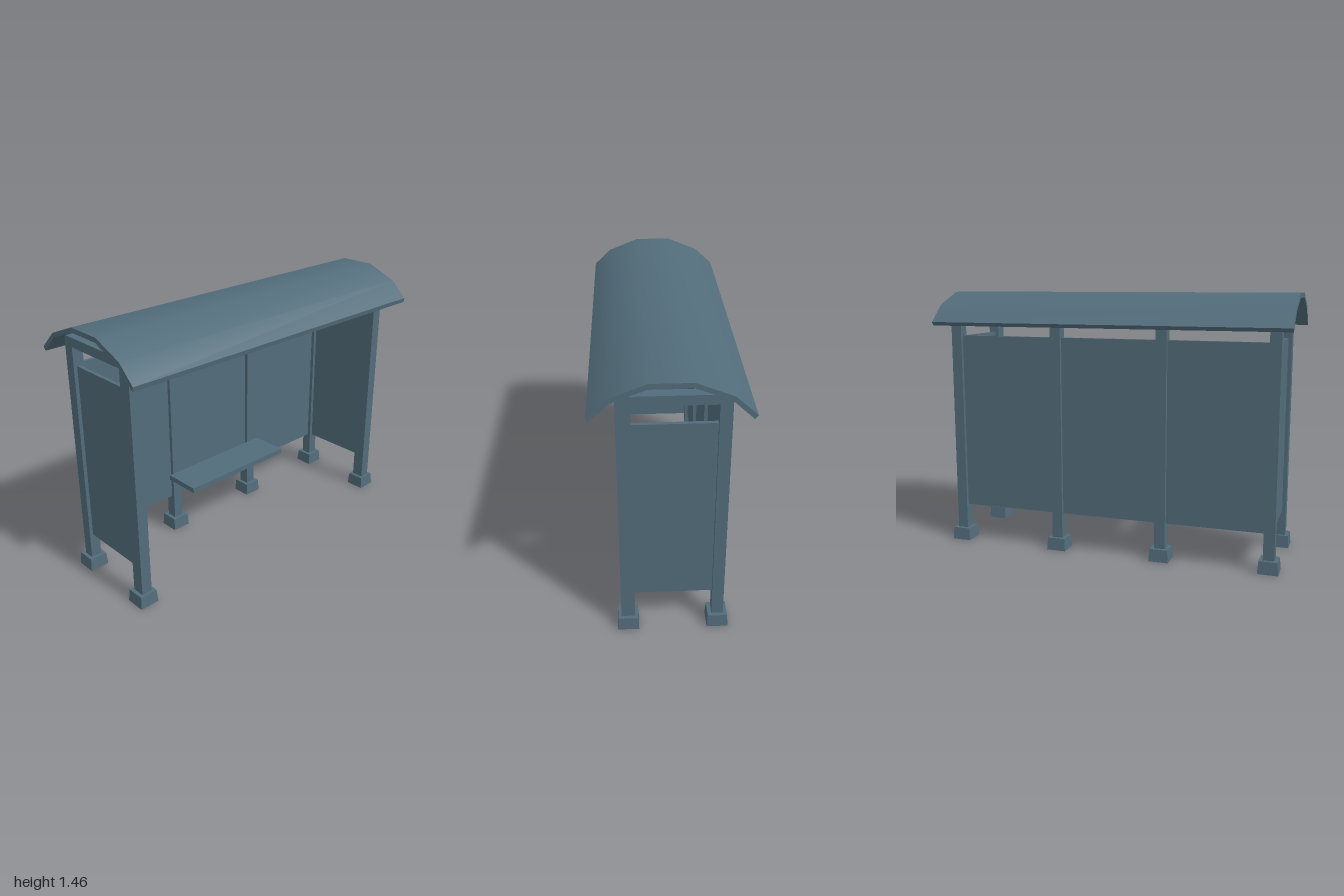
import * as THREE from 'three';
import { toCreasedNormals } from 'three/addons/utils/BufferGeometryUtils.js';

export function createModel() {
  const shelter = new THREE.Group();
  shelter.name = 'busShelter';
  const steel = new THREE.MeshStandardMaterial({ color: 0x526c7a, side: THREE.DoubleSide });
  steel.name = 'blueGreySteel';

  const add = (name, geometry, x = 0, y = 0, z = 0) => {
    const mesh = new THREE.Mesh(geometry, steel);
    mesh.name = name;
    mesh.position.set(x, y, z);
    shelter.add(mesh);
    return mesh;
  };
  // Box given by its limits on each axis
  const box = (name, [x0, x1], [y0, y1], [z0, z1]) =>
    add(name, new THREE.BoxGeometry(x1 - x0, y1 - y0, z1 - z0),
      (x0 + x1) / 2, (y0 + y1) / 2, (z0 + z1) / 2);

  // Posts on tapered feet that are open underneath
  const frontZ = 0.215, backZ = -0.245, endX = 0.905, half = 0.03;
  const footProfile = [[0.055, 0], [0.05, 0.07], [0, 0.07]]
    .map(([r, y]) => new THREE.Vector2(r * Math.SQRT2, y));
  const footGeometry = toCreasedNormals(
    new THREE.LatheGeometry(footProfile, 4).rotateY(Math.PI / 4), 0.3);
  const post = (name, x, z, depth) => {
    box(name + 'Post', [x - half, x + half], [0.065, 1.36], [z - depth, z + depth]);
    add(name + 'Foot', footGeometry, x, 0, z);
  };
  for (const x of [-endX, -0.31, 0.295, endX]) post('back', x, backZ, half);
  for (const x of [-endX, endX]) post('front', x, frontZ, 0.035);

  // Top frame
  for (const [name, z] of [['frontBeam', frontZ], ['backBeam', backZ]]) {
    box(name, [-endX + half, endX - half], [1.31, 1.36], [z - half, z + half]);
  }
  for (const x of [-endX, endX]) {
    box('endBeam', [x - half, x + half], [1.31, 1.36], [backZ + half, frontZ - half]);
  }

  // Wall panels
  box('backPanel', [-endX + half, endX - half], [0.21, 1.21], [backZ - 0.01, backZ + 0.01]);
  for (const x of [-endX, endX]) {
    box('sidePanel', [x - 0.01, x + 0.01], [0.21, 1.205], [backZ + half, frontZ - half]);
  }

  // Bench fixed to the two middle posts
  box('bench', [-0.365, 0.355], [0.34, 0.37], [-0.215, 0]);

  // Curved roof: arched section in z and y, swept along x
  const section = [
    [0.375, 1.295], [0.28, 1.385], [0.105, 1.455], [-0.097, 1.455], [-0.272, 1.385], [-0.375, 1.29],
    [-0.36, 1.27], [-0.26, 1.365], [-0.092, 1.43], [0.1, 1.43], [0.268, 1.365], [0.37, 1.27],
  ].map(([z, y]) => new THREE.Vector2(-z, y));
  const roof = new THREE.ExtrudeGeometry(new THREE.Shape(section), { depth: 2, bevelEnabled: false });
  roof.translate(0, 0, -1).rotateY(Math.PI / 2);
  add('roof', toCreasedNormals(roof, 0.7));

  return shelter;
}
